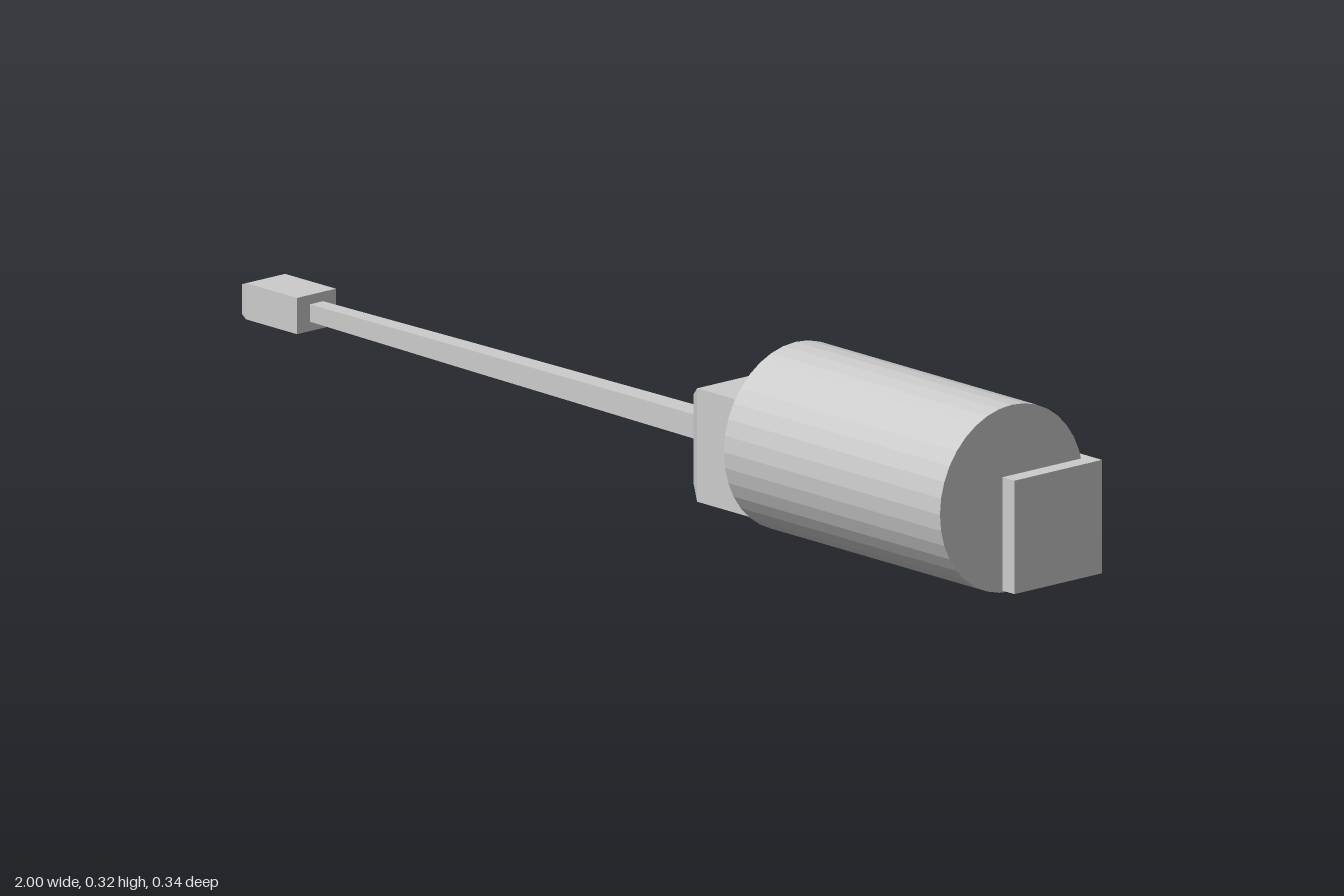
import * as THREE from 'three';

const material = new THREE.MeshStandardMaterial({ color: 0xcccccc, flatShading: true });

// Skin rectangular sections [x, yMin, yMax, zMin, zMax] along x, capped at both ends
function loft(name, sections) {
  const rings = sections.map(([x, y0, y1, z0, z1]) => [
    [x, y0, z0], [x, y0, z1], [x, y1, z1], [x, y1, z0],
  ]);
  const positions = [];
  const quad = (a, b, c, d) => positions.push(...a, ...b, ...c, ...a, ...c, ...d);
  for (let i = 0; i < rings.length - 1; i++) {
    for (let j = 0; j < 4; j++) {
      const k = (j + 1) % 4;
      quad(rings[i][j], rings[i + 1][j], rings[i + 1][k], rings[i][k]);
    }
  }
  const first = rings[0];
  const last = rings[rings.length - 1];
  quad(first[0], first[1], first[2], first[3]);
  quad(last[3], last[2], last[1], last[0]);
  const geometry = new THREE.BufferGeometry();
  geometry.setAttribute('position', new THREE.Float32BufferAttribute(positions, 3));
  geometry.computeVertexNormals();
  const mesh = new THREE.Mesh(geometry, material);
  mesh.name = name;
  return mesh;
}

// Rectangular section centred on the barrel axis
const axisY = 0.102;
const axisZ = -0.075;
const section = (x, h, w) => [x, axisY - h / 2, axisY + h / 2, axisZ - w / 2, axisZ + w / 2];

export function createModel() {
  const model = new THREE.Group();

  // Housing with a chamfered nose
  model.add(loft('housing', [
    [0.17, 0.028, 0.18, -0.148, 0.003],
    [0.207, 0.006, 0.203, -0.17, 0.028],
    [1, 0.006, 0.203, -0.17, 0.028],
  ]));

  // Wedge blending the housing into the drum
  model.add(loft('fairing', [
    [0.36, 0.006, 0.203, -0.02, 0.027],
    [0.432, 0.021, 0.188, -0.02, 0.05],
  ]));

  // Side drum lying along x
  const drumGeometry = new THREE.CylinderGeometry(0.162, 0.162, 0.54, 36);
  drumGeometry.rotateZ(Math.PI / 2);
  const drum = new THREE.Mesh(drumGeometry, material);
  drum.name = 'drum';
  drum.position.set(0.7, 0.163, 0.007);
  model.add(drum);

  // Collar and slender tapering barrel
  model.add(loft('collar', [section(0.135, 0.085, 0.08), section(0.172, 0.085, 0.08)]));
  model.add(loft('barrel', [
    section(-0.865, 0.03, 0.03),
    section(-0.46, 0.036, 0.036),
    section(-0.04, 0.041, 0.041),
    section(0.137, 0.042, 0.045),
  ]));

  // Muzzle block with a square bore and a bevelled mouth
  model.add(loft('muzzle', [
    section(-0.96, 0.026, 0.03),
    section(-1, 0.026, 0.03),
    section(-1, 0.052, 0.08),
    section(-0.985, 0.063, 0.088),
    section(-0.858, 0.063, 0.088),
  ]));

  return model;
}
